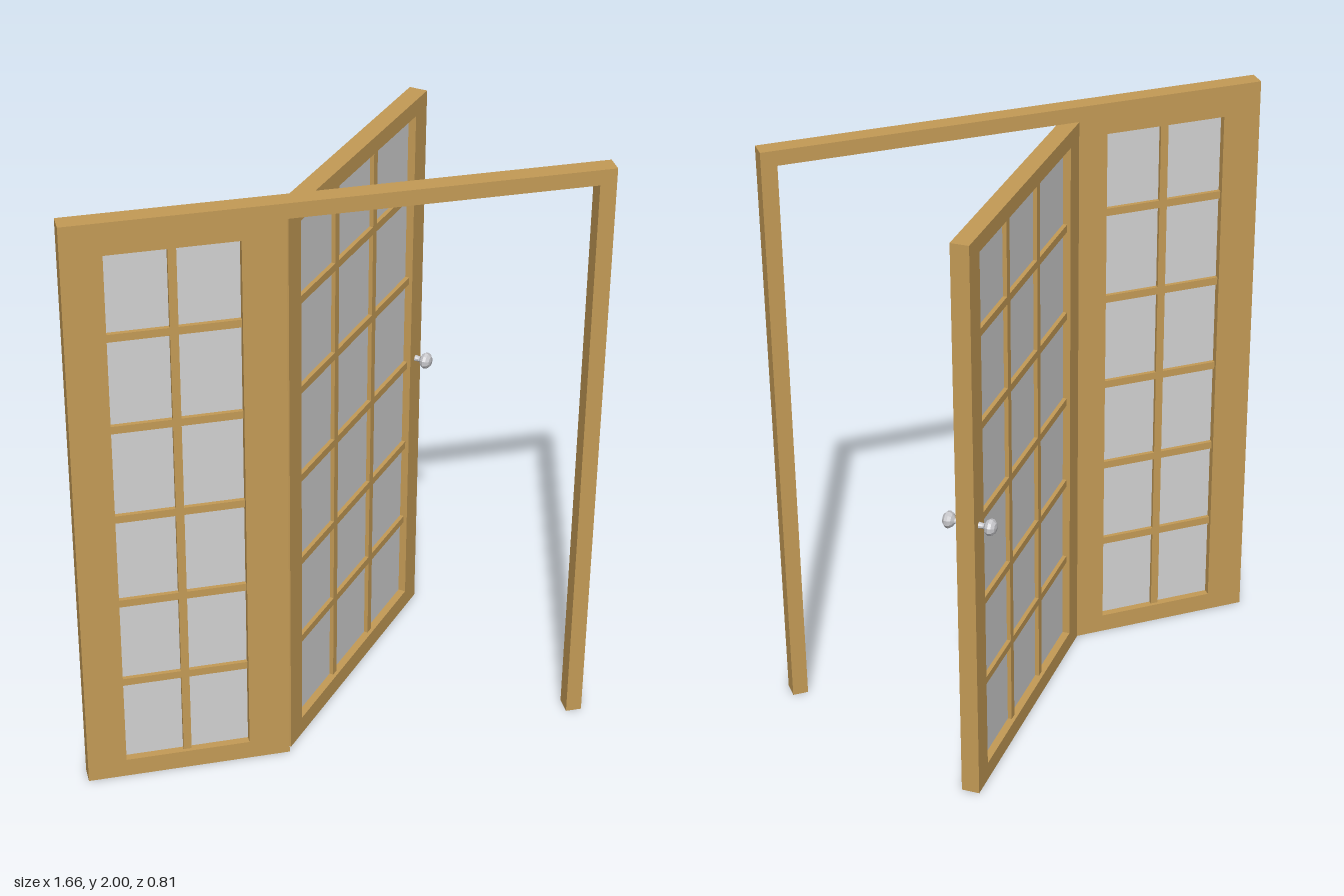
import * as THREE from 'three';

const wood = new THREE.MeshStandardMaterial({ color: 0xc49b56 });
wood.name = 'wood';
const glass = new THREE.MeshStandardMaterial({ color: 0xd2d2d2 });
glass.name = 'glass';
const metal = new THREE.MeshStandardMaterial({ color: 0xc8c8cc, flatShading: true });
metal.name = 'metal';

const TOP = 1.95, DEPTH = 0.06, BAR = 0.026;
const PANE_Y = [0.064, 0.366, 0.67, 0.983, 1.302, 1.616, 1.895];

function rect(Type, x0, y0, x1, y1) {
  const r = new Type();
  r.moveTo(x0, y0);
  r.lineTo(x1, y0);
  r.lineTo(x1, y1);
  r.lineTo(x0, y1);
  r.closePath();
  return r;
}

function slab(name, shape, depth) {
  const geometry = new THREE.ExtrudeGeometry(shape, { depth, bevelEnabled: false });
  geometry.translate(0, 0, -depth / 2);
  const mesh = new THREE.Mesh(geometry, wood);
  mesh.name = name;
  return mesh;
}

function box(name, material, x0, y0, x1, y1, depth) {
  const mesh = new THREE.Mesh(new THREE.BoxGeometry(x1 - x0, y1 - y0, depth), material);
  mesh.position.set((x0 + x1) / 2, (y0 + y1) / 2, 0);
  mesh.name = name;
  return mesh;
}

// Glazed panel from x = 0 to width, with an opening split into columns and six rows
function glazedPanel(name, width, x0, x1, columns) {
  const panel = new THREE.Group();
  panel.name = name;
  const y0 = PANE_Y[0], y1 = PANE_Y[6];

  const surround = rect(THREE.Shape, 0, 0, width, TOP);
  surround.holes.push(rect(THREE.Path, x0, y0, x1, y1));
  panel.add(slab(name + 'Surround', surround, DEPTH));

  // Glazing bars: a thinner grille with one hole for each pane
  const grille = rect(THREE.Shape, x0 - 0.01, y0 - 0.01, x1 + 0.01, y1 + 0.01);
  const step = (x1 - x0) / columns;
  for (let c = 0; c < columns; c++) {
    const left = x0 + c * step + (c > 0 ? BAR / 2 : 0);
    const right = x0 + (c + 1) * step - (c < columns - 1 ? BAR / 2 : 0);
    for (let r = 0; r < 6; r++) {
      const low = PANE_Y[r] + (r > 0 ? BAR / 2 : 0);
      const high = PANE_Y[r + 1] - (r < 5 ? BAR / 2 : 0);
      grille.holes.push(rect(THREE.Path, left, low, right, high));
    }
  }
  panel.add(slab(name + 'GlazingBars', grille, 0.036));
  panel.add(box(name + 'Glass', glass, x0 - 0.005, y0 - 0.005, x1 + 0.005, y1 + 0.005, 0.009));
  return panel;
}

// Turned knob on a thin stem, pointing along +y before it is tilted
function knob(side) {
  const profile = [
    [0.011, 0], [0.009, 0.012], [0.009, 0.018], [0.022, 0.026],
    [0.028, 0.036], [0.026, 0.046], [0.016, 0.055], [0, 0.058],
  ].map(([r, y]) => new THREE.Vector2(r, y));
  const mesh = new THREE.Mesh(new THREE.LatheGeometry(profile, 10), metal);
  mesh.name = side > 0 ? 'frontKnob' : 'backKnob';
  mesh.rotation.x = side * Math.PI / 2;
  mesh.position.set(0.916, 0.993, side * DEPTH / 2);
  return mesh;
}

export function createModel() {
  const model = new THREE.Group();
  model.name = 'glazedDoorway';

  // Fixed frame and side panel
  const frame = new THREE.Group();
  frame.name = 'frame';
  frame.position.z = 0.374;
  frame.add(box('header', wood, -0.828, TOP, 0.828, 2, DEPTH));
  frame.add(box('jamb', wood, 0.776, 0, 0.828, TOP, DEPTH));
  const sidePanel = glazedPanel('sidePanel', 0.661, 0.125, 0.528, 2);
  sidePanel.position.x = -0.828;
  frame.add(sidePanel);
  model.add(frame);

  // Door swung open to the back
  const door = glazedPanel('door', 0.955, 0.08, 0.875, 3);
  door.position.set(-0.18, 0, 0.361);
  door.rotation.y = 0.8745;
  door.add(knob(1), knob(-1));
  model.add(door);

  return model;
}
